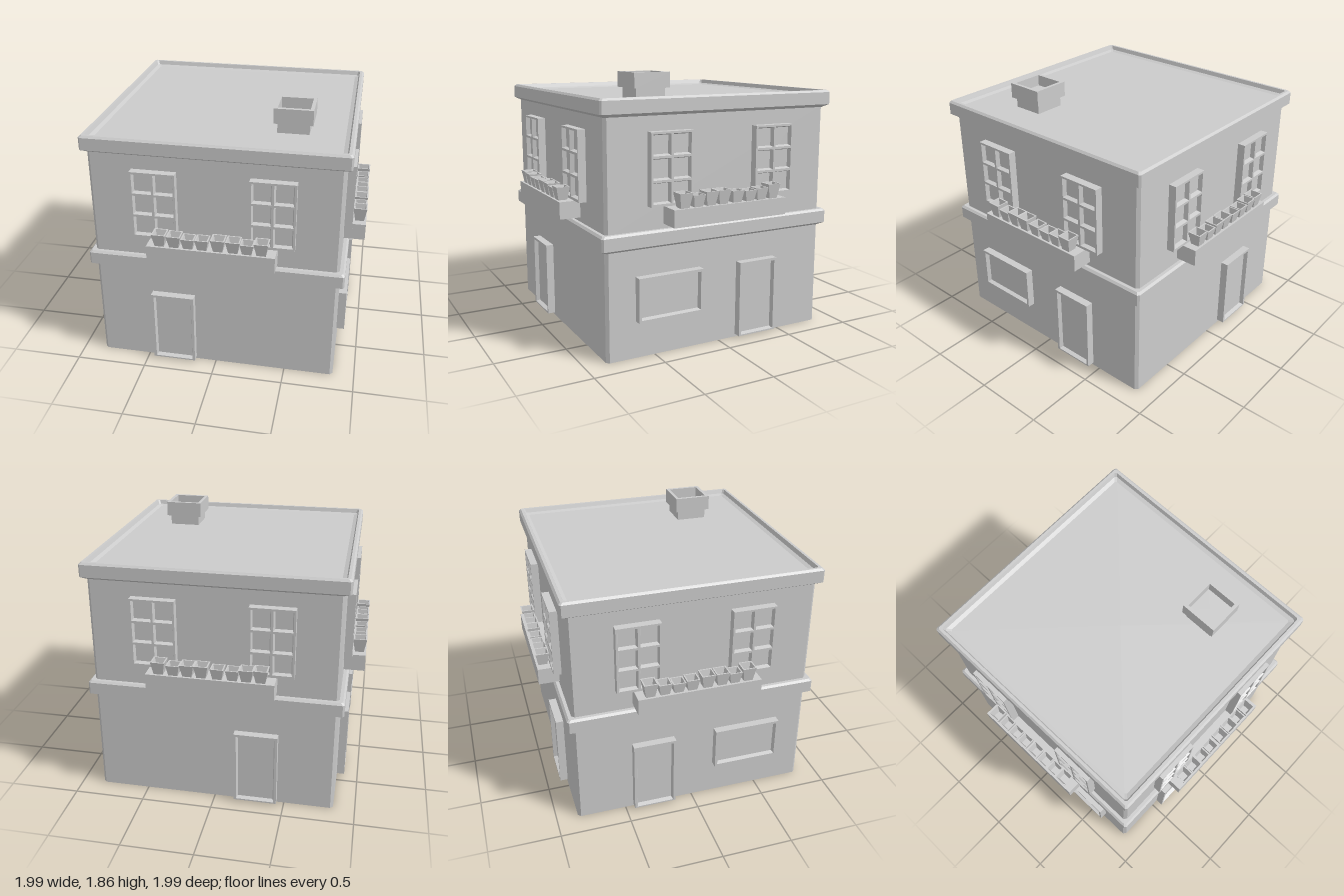
import * as THREE from 'three';

const solid = new THREE.MeshStandardMaterial({ color: 0xcccccc, flatShading: true });
const open = new THREE.MeshStandardMaterial({ color: 0xcccccc, flatShading: true, side: THREE.DoubleSide });

function add(parent, name, geometry, x = 0, y = 0, z = 0, material = solid) {
  const mesh = new THREE.Mesh(geometry, material);
  mesh.name = name;
  mesh.position.set(x, y, z);
  parent.add(mesh);
  return mesh;
}

// Ring of half width h and half depth h + stretch, with optional cut corners
function ring(h, y, cut, stretch) {
  const c = Math.min(cut, h);
  const d = h + stretch;
  const pts = cut
    ? [[c - h, d], [h - c, d], [h, d - c], [h, c - d], [h - c, -d], [c - h, -d], [-h, c - d], [-h, d - c]]
    : [[-h, d], [h, d], [h, -d], [-h, -d]];
  return pts.map(([x, z]) => [x, y, z]);
}

// Stack of rings from a [halfWidth, y] profile
function loft(profile, cut = 0, stretch = 0) {
  const rings = profile.map(([h, y]) => ring(h, y, cut, stretch));
  const pos = [];
  for (let j = 0; j < rings.length - 1; j++) {
    const lo = rings[j], hi = rings[j + 1], n = lo.length;
    for (let i = 0; i < n; i++) {
      const k = (i + 1) % n;
      if (profile[j][0] > 0) pos.push(...lo[i], ...lo[k], ...hi[k]);
      if (profile[j + 1][0] > 0) pos.push(...lo[i], ...hi[k], ...hi[i]);
    }
  }
  const g = new THREE.BufferGeometry();
  g.setAttribute('position', new THREE.Float32BufferAttribute(pos, 3));
  g.computeVertexNormals();
  return g;
}

function rect(target, x0, y0, x1, y1) {
  target.moveTo(x0, y0);
  target.lineTo(x1, y0);
  target.lineTo(x1, y1);
  target.lineTo(x0, y1);
  target.closePath();
  return target;
}

const WALL = 0.848;
const FRAME = 0.055; // how far frames stand out from the wall
const PANEL = 0.026; // how far panels stand out

// Frame that passes through the wall, with a grid of recessed panels and sloped reveals
function framed(parent, name, { x, y0, y1, w, border, low = border, cols = 1, rows = 1, bar = 0.016 }) {
  const group = new THREE.Group();
  group.name = name;
  group.position.set(x, 0, WALL);
  parent.add(group);
  const shape = rect(new THREE.Shape(), -w / 2, y0, w / 2, y1);
  const pw = (w - 2 * border - (cols - 1) * bar) / cols;
  const ph = (y1 - y0 - border - low - (rows - 1) * bar) / rows;
  const hw = pw / 2, inner = hw - 0.009;
  const reveal = loft([[hw, -FRAME], [inner, -PANEL], [inner, PANEL], [hw, FRAME]], 0, (ph - pw) / 2);
  reveal.rotateX(Math.PI / 2);
  for (let i = 0; i < cols; i++) {
    for (let j = 0; j < rows; j++) {
      const px = -w / 2 + border + i * (pw + bar);
      const py = y0 + low + j * (ph + bar);
      shape.holes.push(rect(new THREE.Path(), px, py, px + pw, py + ph));
      add(group, 'reveal', reveal, px + hw, py + ph / 2, 0, open);
    }
  }
  const frame = new THREE.ExtrudeGeometry(shape, { depth: 2 * FRAME, bevelEnabled: false });
  add(group, 'frame', frame, 0, 0, -FRAME);
  add(group, 'panel', new THREE.BoxGeometry(w - border, y1 - y0 - low, 2 * PANEL), 0, (y0 + y1) / 2, 0);
}

// Planter with a row of hollow tapered pots
function planter(parent, tops) {
  const group = new THREE.Group();
  group.name = 'planter';
  parent.add(group);
  add(group, 'planterBox', new THREE.BoxGeometry(0.865, 0.118, 0.155), 0, 0.95, 0.917);
  const xs = [-0.345, -0.245, -0.15, -0.055, 0.052, 0.153, 0.245, 0.34];
  xs.forEach((x, i) => {
    const t = tops[i], r = t > 1.09 ? 0.048 : 0.045;
    const pot = loft([[0.03, 1.005], [r, t], [r - 0.009, t], [0.024, t - 0.075], [0, t - 0.075]]);
    add(group, 'pot', pot, x, 0, 0.948);
  });
}

// Band with bevelled edges around the building
const bandProfile = (y) => [[0.845, y], [0.885, y + 0.023], [0.885, y + 0.108], [0.871, y + 0.122]];

export function createModel() {
  const model = new THREE.Group();
  model.name = 'house';

  // Walls, open below with a ceiling set inside the band
  add(model, 'lowerWall', loft([[WALL, 0], [WALL, 0.82], [0, 0.82]], 0.02), 0, 0, 0, open);
  add(model, 'floorBand', loft([...bandProfile(0.738), [0, 0.86]], 0.012));
  add(model, 'upperWall', loft([[WALL, 0.85], [WALL, 1.61]], 0.02), 0, 0, 0, open);

  // Flat roof sunk behind its parapet
  add(model, 'roofParapet', loft(
    [...bandProfile(1.597), [0.852, 1.719], [0.842, 1.69], [0.815, 1.68], [0, 1.68]], 0.012));

  // Chimney with open top
  add(model, 'chimney', loft(
    [[0.108, 1.67], [0.108, 1.752], [0.132, 1.752], [0.132, 1.857],
      [0.108, 1.857], [0.108, 1.78], [0, 1.78]]), 0.469, 0, 0.387);

  // Each side: heading, door position, shop window position, pot heights
  const sides = [
    ['frontSide', 0, -0.297, null, [1.1, 1.095, 1.083, 1.085, 1.097, 1.095, 1.083, 1.1]],
    ['rightSide', Math.PI / 2, 0.29, -0.398, [1.11, 1.09, 1.105, 1.105, 1.09, 1.083, 1.09, 1.11]],
    ['backSide', Math.PI, 0.297, null, [1.1, 1.083, 1.095, 1.097, 1.085, 1.083, 1.095, 1.1]],
    ['leftSide', -Math.PI / 2, -0.29, 0.398, [1.11, 1.09, 1.083, 1.09, 1.105, 1.105, 1.09, 1.11]],
  ];
  for (const [name, turn, doorX, shopX, tops] of sides) {
    const side = new THREE.Group();
    side.name = name;
    side.rotation.y = turn;
    model.add(side);
    framed(side, 'door', { x: doorX, y0: 0.02, y1: 0.556, w: 0.305, border: 0.018, low: 0.01 });
    if (shopX !== null) framed(side, 'shopWindow', { x: shopX, y0: 0.255, y1: 0.56, w: 0.48, border: 0.018 });
    for (const s of [-1, 1]) {
      framed(side, 'upperWindow', {
        x: s * 0.397, y0: 1.018, y1: 1.5, w: 0.305, border: 0.014, low: 0.018, cols: 2, rows: 3,
      });
    }
    planter(side, tops);
  }
  return model;
}
